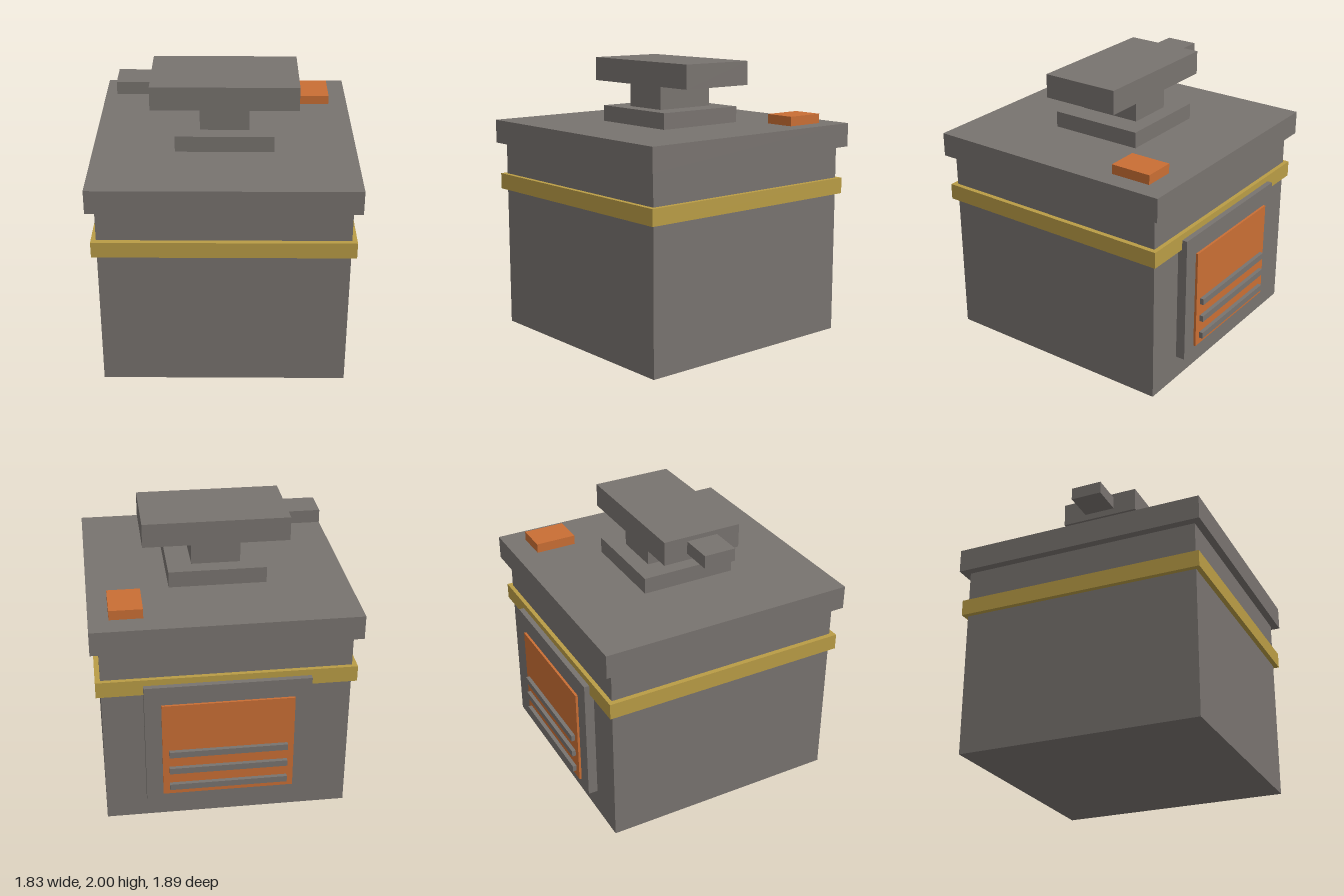
import * as THREE from 'three';

export function createModel() {
  const model = new THREE.Group();
  model.name = 'anvilForge';

  const stone = new THREE.MeshStandardMaterial({ color: 0x78736f });
  stone.name = 'stone grey';
  const brass = new THREE.MeshStandardMaterial({ color: 0xb99c45 });
  brass.name = 'brass';
  const ember = new THREE.MeshStandardMaterial({ color: 0xc96e34 });
  ember.name = 'ember orange';

  // Box given by its extents along each axis
  function block(name, material, [x0, x1], [y0, y1], [z0, z1], parent = model) {
    const mesh = new THREE.Mesh(new THREE.BoxGeometry(x1 - x0, y1 - y0, z1 - z0), material);
    mesh.position.set((x0 + x1) / 2, (y0 + y1) / 2, (z0 + z1) / 2);
    mesh.name = name;
    parent.add(mesh);
  }

  // Main block with its band and top slab
  block('body', stone, [-0.855, 0.855], [0, 1.375], [-0.83, 0.89]);
  block('band', brass, [-0.89, 0.89], [1.03, 1.145], [-0.86, 0.925]);
  block('topSlab', stone, [-0.913, 0.913], [1.375, 1.545], [-0.888, 0.943]);

  // Anvil
  const anvil = new THREE.Group();
  anvil.name = 'anvil';
  model.add(anvil);
  block('anvilFoot', stone, [-0.343, 0.343], [1.545, 1.66], [-0.315, 0.37], anvil);
  block('anvilWaist', stone, [-0.172, 0.172], [1.66, 1.83], [-0.2, 0.258], anvil);
  block('anvilHead', stone, [-0.513, 0.513], [1.83, 2], [-0.258, 0.313], anvil);
  block('anvilHorn', stone, [-0.745, -0.513], [1.877, 1.968], [-0.086, 0.142], anvil);

  // Glowing ingot on the slab
  block('ingot', ember, [0.547, 0.775], [1.545, 1.613], [-0.73, -0.435]);

  // Furnace opening on the back
  const furnace = new THREE.Group();
  furnace.name = 'furnace';
  model.add(furnace);
  block('furnaceFrame', stone, [-0.572, 0.572], [0.175, 1.1], [-0.898, -0.83], furnace);
  block('furnaceGlow', ember, [-0.457, 0.457], [0.232, 0.962], [-0.915, -0.898], furnace);
  for (const y of [0.303, 0.439, 0.575]) {
    block('grateBar', stone, [-0.412, 0.412], [y - 0.023, y + 0.023], [-0.943, -0.909], furnace);
  }

  return model;
}
